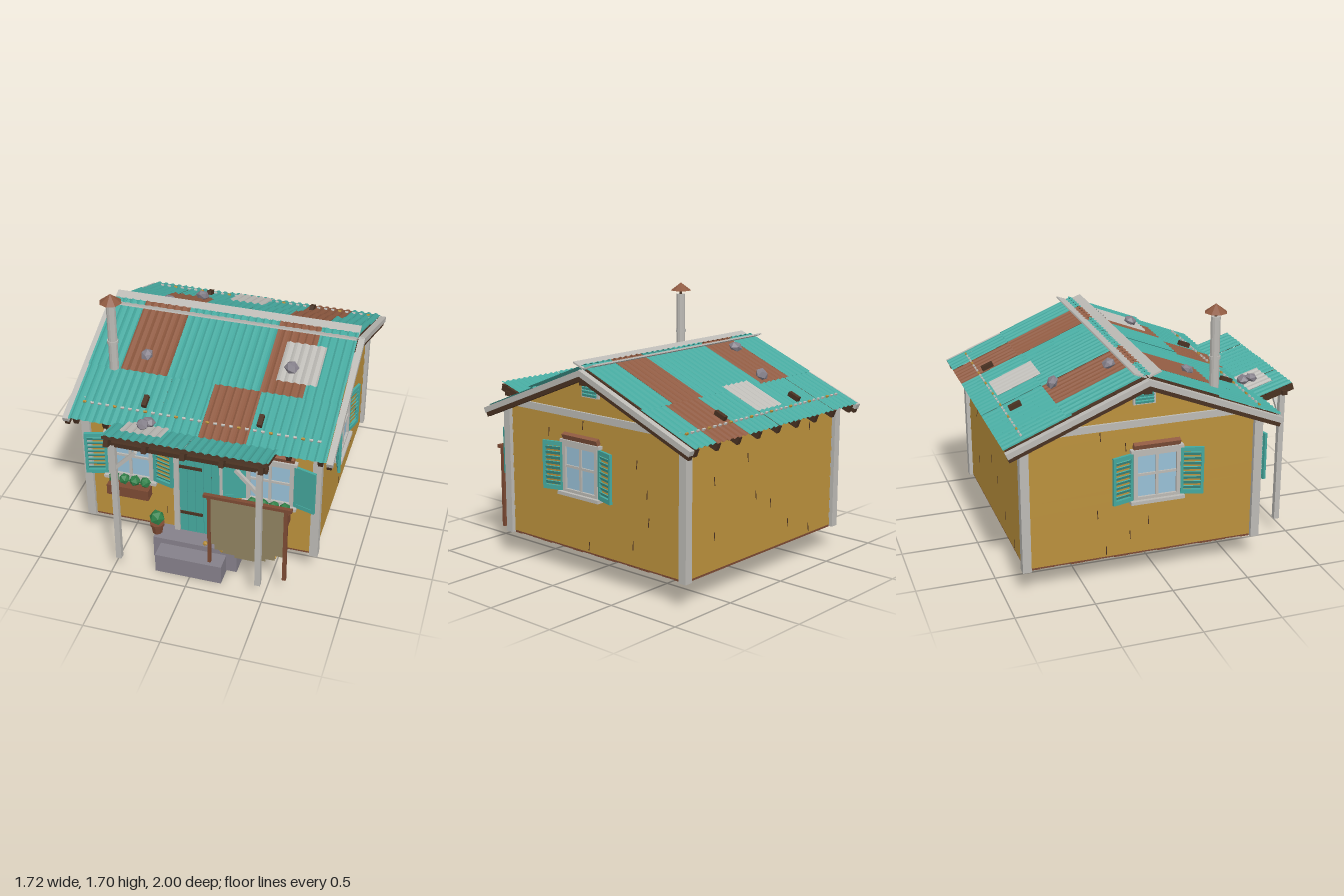
import * as THREE from 'three';

const make = (name, color, side = THREE.FrontSide) => {
  const m = new THREE.MeshStandardMaterial({ color, flatShading: true, side });
  m.name = name;
  return m;
};
const M = {
  teal: make('teal paint', 0x45a89e, THREE.DoubleSide),
  rust: make('rust', 0x8e5940, THREE.DoubleSide),
  trim: make('pale trim', 0xbcbab5, THREE.DoubleSide),
  ochre: make('ochre siding', 0xb58c3a),
  dark: make('dark timber', 0x4a3222),
  wood: make('red brown wood', 0x7c4a33),
  stone: make('stone', 0x85808a),
  glass: make('glass', 0x98c0d6),
  leaf: make('leaf green', 0x2f8048),
  cloth: make('canvas', 0x8f8260, THREE.DoubleSide),
};

let seed = 7;
const rand = () => (seed = (seed * 16807) % 2147483647) / 2147483647;

function add(parent, name, geo, mat, x = 0, y = 0, z = 0, rx = 0, ry = 0, rz = 0) {
  const m = new THREE.Mesh(geo, mat);
  m.name = name;
  m.position.set(x, y, z);
  m.rotation.set(rx, ry, rz);
  parent.add(m);
  return m;
}
const box = (p, name, mat, w, h, d, ...at) => add(p, name, new THREE.BoxGeometry(w, h, d), mat, ...at);
function group(parent, name, x = 0, y = 0, z = 0, rx = 0, ry = 0) {
  const g = new THREE.Group();
  g.name = name;
  g.position.set(x, y, z);
  g.rotation.set(rx, ry, 0);
  parent.add(g);
  return g;
}

// Wavy metal sheet from x0..x1 and s0..s1 along the slope
function sheet(p, name, mat, x0, x1, s0, s1, lift) {
  const w = x1 - x0;
  const geo = new THREE.PlaneGeometry(w, s1 - s0, Math.max(4, Math.round(w / 0.0125)), 1).rotateX(-Math.PI / 2);
  geo.translate((x0 + x1) / 2, lift, (s0 + s1) / 2);
  const a = geo.attributes.position;
  for (let i = 0; i < a.count; i++) a.setY(i, a.getY(i) + 0.006 * Math.sin((a.getX(i) * 2 * Math.PI) / 0.05));
  geo.computeVertexNormals();
  add(p, name, geo, mat);
}

function rock(p, x, y, z, r = 0.045) {
  const m = add(p, 'rock', new THREE.IcosahedronGeometry(r, 0), M.stone, x, y, z, rand(), rand() * 3, 0);
  m.scale.set(1, 0.65, 0.9);
}

// One wall of lapped planks, optionally rising into a gable
function wall(p, name, angle, gable) {
  const g = group(p, name, 0, 0, 0, 0, angle);
  const H = 0.085;
  const half = (y) => Math.min(0.74, Math.max(0, (1.315 - y) / 0.404));
  for (let i = 0; i < (gable ? 14 : 10); i++) {
    const y = 0.17 + i * H;
    const top = Math.min(y + H, 1.314), b = half(y), t = half(top);
    const s = new THREE.Shape([[-b, 0], [b, 0], [t, top - y], [-t, top - y]].map((q) => new THREE.Vector2(...q)));
    const geo = new THREE.ExtrudeGeometry(s, { depth: 0.01, bevelEnabled: false });
    add(g, 'sidingPlank', geo, M.ochre, 0, y, 0.745, -0.09);
    if (i < 10 && rand() > 0.25)
      box(g, 'plankJoint', M.dark, 0.005, 0.055, 0.004, (rand() - 0.5) * 1.1, y + 0.04, 0.7515, -0.09);
  }
  if (gable) {
    box(g, 'gableTrim', M.trim, 1.44, 0.045, 0.015, 0, 1.04, 0.762);
    box(g, 'ventFrame', M.trim, 0.14, 0.1, 0.02, 0, 1.21, 0.758);
    for (let i = 0; i < 4; i++) box(g, 'ventSlat', M.teal, 0.115, 0.016, 0.012, 0, 1.177 + i * 0.021, 0.77, 0.3);
    box(g, 'ridgeBeamEnd', M.dark, 0.05, 0.06, 0.14, 0, 1.275, 0.76);
  }
}

function shutter(p, side, solid) {
  const g = group(p, 'shutter', side * 0.155, 0, 0.015, 0, -side * 0.28);
  const X = side * 0.072;
  for (const d of [-1, 1]) {
    box(g, 'shutterStile', M.teal, 0.018, 0.31, 0.018, X + d * 0.063, 0, 0);
    box(g, 'shutterRail', M.teal, 0.14, 0.028, 0.018, X, d * 0.142, 0);
  }
  if (solid) box(g, 'shutterPanel', M.teal, 0.12, 0.27, 0.01, X, 0, 0);
  else for (let i = 0; i < 8; i++) box(g, 'shutterSlat', M.teal, 0.115, 0.024, 0.006, X, -0.112 + i * 0.032, 0, 0.5);
}

function windowUnit(p, x, y, z, ry, solid) {
  const g = group(p, 'window', x, y, z, 0, ry);
  box(g, 'glass', M.glass, 0.27, 0.29, 0.008, 0, 0, 0.008);
  for (const d of [-1, 1]) {
    box(g, 'frameSide', M.trim, 0.025, 0.31, 0.035, d * 0.138, 0, 0.01);
    box(g, 'frameRail', M.trim, 0.3, 0.025, 0.035, 0, d * 0.148, 0.01);
    shutter(g, d, solid);
  }
  box(g, 'muntinUpright', M.trim, 0.018, 0.28, 0.02, 0, 0, 0.012);
  box(g, 'muntinCross', M.trim, 0.26, 0.016, 0.02, 0, 0.01, 0.012);
  box(g, 'sill', M.trim, 0.35, 0.022, 0.06, 0, -0.165, 0.02);
  box(g, 'headTrim', M.trim, 0.34, 0.02, 0.04, 0, 0.168, 0.012);
  box(g, 'rustyHood', M.rust, 0.3, 0.04, 0.03, 0, 0.197, 0.012, 0.4);
}

function planter(p, x) {
  box(p, 'planterBox', M.wood, 0.28, 0.075, 0.075, x, 0.47, 0.715);
  for (let i = 0; i < 4; i++)
    add(p, 'planterBush', new THREE.IcosahedronGeometry(0.037, 0), M.leaf, x - 0.1 + i * 0.07, 0.55, 0.715, rand(), rand());
}

function pot(p, x) {
  add(p, 'pot', new THREE.CylinderGeometry(0.044, 0.033, 0.07, 8), M.wood, x, 0.212, 0.735);
  add(p, 'potRim', new THREE.CylinderGeometry(0.05, 0.048, 0.018, 8), M.wood, x, 0.245, 0.735);
  add(p, 'potPlant', new THREE.IcosahedronGeometry(0.052, 0), M.leaf, x, 0.295, 0.735, 0.2, 0.5);
}

const A = Math.atan(0.355 / 0.88), C = Math.cos(A), LEN = 0.88 / C;

// One roof slope; local z runs from the ridge down to the eave
function slope(p, name, angle, upper, lower) {
  const f = angle ? -1 : 1;
  const g = group(group(p, name, 0, 1.355, -0.11, 0, angle), 'roofPitch', 0, 0, 0, A);
  const row = (list, s0, s1, lift) => {
    for (const [a, b, c] of list) sheet(g, 'roofSheet', M[c], Math.min(a * f, b * f), Math.max(a * f, b * f), s0, s1, lift + rand() * 0.004);
  };
  row(upper, -0.015, 0.535, 0.009);
  row(lower, 0.5, LEN, -0.003);
  for (let i = 0; i < 9; i++) box(g, 'rafter', M.dark, 0.03, 0.05, 0.93, -0.78 + i * 0.195, -0.042, 0.475);
  for (const s of [0.2, 0.5, 0.9]) box(g, 'batten', M.dark, 1.62, 0.012, 0.04, 0, -0.018, s);
  for (const d of [-1, 1]) {
    box(g, 'bargeBoard', M.trim, 0.04, 0.035, LEN, d * 0.84, -0.028, LEN / 2);
    box(g, 'bargeRafter', M.dark, 0.03, 0.03, LEN, d * 0.835, -0.058, LEN / 2);
    box(g, 'roofCleat', M.dark, 0.03, 0.03, 0.08, d * 0.37, 0.015, 0.69 / C);
  }
  for (let i = 0; i < 31; i++) box(g, 'fixing', i % 4 ? M.trim : M.ochre, 0.022, 0.012, 0.012, -0.75 + i * 0.05, 0.006, 0.755 / C);
  return g;
}

export function createModel() {
  const root = new THREE.Group();
  root.name = 'cabin';

  // Body
  const body = group(root, 'body', 0, 0, -0.11);
  const outline = new THREE.Shape([[-0.74, 0.17], [0.74, 0.17], [0.74, 1.0], [0, 1.3], [-0.74, 1.0]].map((q) => new THREE.Vector2(...q)));
  const core = new THREE.ExtrudeGeometry(outline, { depth: 1.48, bevelEnabled: false }).translate(0, 0, -0.74).rotateY(Math.PI / 2);
  add(body, 'wallCore', core, M.dark);
  ['frontWall', 'leftWall', 'backWall', 'rightWall'].forEach((n, i) => wall(body, n, (i * Math.PI) / 2, i % 2 === 1));
  for (let i = 0; i < 16; i++) box(body, 'floorPlank', M.wood, 1.5, 0.02, 0.09, 0, 0.165 + (i % 3) * 0.002, -0.705 + i * 0.094);
  for (const x of [-1, 1]) for (const z of [-1, 1]) box(body, 'cornerPost', M.trim, 0.055, 0.85, 0.055, x * 0.75, 0.583, z * 0.75);

  // Windows and planters
  windowUnit(root, -0.457, 0.695, 0.65, 0, false);
  windowUnit(root, 0.457, 0.695, 0.65, 0, true);
  windowUnit(root, 0.757, 0.695, -0.03, Math.PI / 2, false);
  windowUnit(root, -0.757, 0.695, -0.03, -Math.PI / 2, false);
  planter(root, -0.457);
  planter(root, 0.457);

  // Door
  const door = group(root, 'door', 0, 0, 0.655);
  box(door, 'doorBack', M.dark, 0.27, 0.68, 0.01, 0, 0.51, 0);
  for (let i = 0; i < 5; i++) box(door, 'doorPlank', M.teal, 0.05, 0.68, 0.02, -0.107 + i * 0.0535, 0.51, 0.006);
  for (const y of [0.33, 0.7]) box(door, 'hinge', M.dark, 0.15, 0.02, 0.008, -0.055, y, 0.02);
  for (const d of [-1, 1]) box(door, 'doorJamb', M.trim, 0.035, 0.72, 0.045, d * 0.152, 0.53, 0.005);
  box(door, 'doorHead', M.trim, 0.34, 0.035, 0.045, 0, 0.87, 0.005);
  box(door, 'doorHeader', M.trim, 0.49, 0.06, 0.035, 0, 0.92, 0.005, 0, 0, -0.03);
  add(door, 'doorKnob', new THREE.IcosahedronGeometry(0.017, 1), M.ochre, 0.085, 0.49, 0.03);

  // Main roof
  const front = slope(root, 'frontRoof', 0,
    [[-0.82, -0.6, 'teal'], [-0.6, -0.29, 'rust'], [-0.29, 0.02, 'teal'], [0.02, 0.31, 'teal'], [0.31, 0.58, 'rust'], [0.58, 0.82, 'teal']],
    [[-0.82, -0.55, 'teal'], [-0.55, -0.26, 'teal'], [-0.26, 0.02, 'teal'], [0.02, 0.32, 'rust'], [0.32, 0.58, 'teal'], [0.58, 0.82, 'teal']]);
  const back = slope(root, 'backRoof', Math.PI,
    [[-0.82, -0.59, 'teal'], [-0.59, -0.28, 'rust'], [-0.28, 0.02, 'teal'], [0.02, 0.3, 'teal'], [0.3, 0.58, 'rust'], [0.58, 0.82, 'teal']],
    [[-0.82, -0.55, 'teal'], [-0.55, -0.26, 'teal'], [-0.26, 0.04, 'teal'], [0.04, 0.33, 'teal'], [0.33, 0.62, 'rust'], [0.62, 0.82, 'teal']]);
  sheet(front, 'palePatch', M.trim, 0.39, 0.65, 0.13 / C, 0.41 / C, 0.025);
  sheet(back, 'palePatch', M.trim, -0.09, 0.16, 0.46 / C, 0.74 / C, 0.025);
  for (const d of [-1, 1]) box(root, 'ridgeBoard', M.trim, 1.64, 0.01, 0.085, 0, 1.362, -0.11 + d * 0.046, -d * 0.36);
  rock(front, -0.46, 0.03, 0.38 / C);
  rock(front, 0.47, 0.045, 0.32 / C, 0.05);
  rock(back, 0.35, 0.03, 0.44 / C, 0.05);
  rock(back, 0.48, 0.03, 0.12 / C, 0.05);

  // Chimney
  const chimney = group(root, 'chimney', -0.645, 0, 0.385);
  add(chimney, 'pipe', new THREE.CylinderGeometry(0.03, 0.03, 0.46, 12), M.trim, 0, 1.39);
  add(chimney, 'collar', new THREE.CylinderGeometry(0.036, 0.036, 0.02, 12), M.trim, 0, 1.36);
  add(chimney, 'capStem', new THREE.CylinderGeometry(0.01, 0.01, 0.06, 6), M.dark, 0, 1.64);
  add(chimney, 'cap', new THREE.ConeGeometry(0.072, 0.055, 8), M.rust, 0, 1.672);

  // Porch roof tilting up towards the front
  const porch = group(root, 'porchRoof', 0, 1.075, 0.98, -0.29);
  for (let i = 0; i < 4; i++) sheet(porch, 'porchSheet', M.teal, -0.52 + i * 0.26, -0.26 + i * 0.26, -0.35, 0, 0.004 + (i % 2) * 0.003);
  sheet(porch, 'palePatch', M.trim, -0.43, -0.17, -0.26, -0.09, 0.02);
  for (let i = 0; i < 5; i++) box(porch, 'porchRafter', M.dark, 0.03, 0.045, 0.36, -0.48 + i * 0.24, -0.04, -0.168);
  for (const z of [-0.02, -0.17, -0.3]) box(porch, 'porchBatten', M.dark, 1.03, 0.014, 0.03, 0, -0.012, z);
  rock(porch, -0.3, 0.045, -0.24, 0.05);
  rock(porch, -0.32, 0.045, -0.19, 0.045);
  box(root, 'porchBeam', M.dark, 1.02, 0.03, 0.035, 0, 1.005, 0.94);
  for (const d of [-1, 1]) {
    box(root, 'porchPost', M.trim, 0.036, 0.91, 0.036, d * 0.46, 0.545, 0.94);
    box(root, 'porchBrace', M.trim, 0.022, 0.21, 0.022, d * 0.385, 0.89, 0.94, 0, 0, d * 0.75);
  }

  // Steps and pots
  box(root, 'upperStep', M.stone, 0.56, 0.165, 0.15, 0, 0.0925, 0.715);
  box(root, 'lowerStep', M.stone, 0.44, 0.135, 0.13, -0.01, 0.0675, 0.845);
  pot(root, -0.27);
  pot(root, 0.26);

  // Canvas screen with hanging weights
  const screen = group(root, 'canvasScreen', 0, 0, 0.875);
  box(screen, 'screenPost', M.wood, 0.02, 0.54, 0.022, 0.125, 0.41, 0);
  box(screen, 'screenPost', M.wood, 0.024, 0.57, 0.022, 0.613, 0.395, 0);
  box(screen, 'screenBar', M.wood, 0.56, 0.022, 0.026, 0.37, 0.675, 0);
  const hem = [[0.135, 0.29], [0.16, 0.29], [0.16, 0.25], [0.21, 0.25], [0.21, 0.23], [0.29, 0.23], [0.29, 0.21], [0.43, 0.21],
    [0.43, 0.23], [0.49, 0.23], [0.49, 0.25], [0.55, 0.25], [0.55, 0.29], [0.6, 0.29], [0.6, 0.665], [0.135, 0.665]];
  add(screen, 'canvas', new THREE.ShapeGeometry(new THREE.Shape(hem.map((q) => new THREE.Vector2(...q)))), M.cloth);
  for (const [x, y] of [[0.09, 0.26], [0.2, 0.23], [0.31, 0.22], [0.42, 0.235], [0.54, 0.26], [0.6, 0.34], [0.6, 0.49]])
    add(screen, 'weight', new THREE.IcosahedronGeometry(0.017, 0), M.ochre, x, y, -0.025);
  return root;
}
